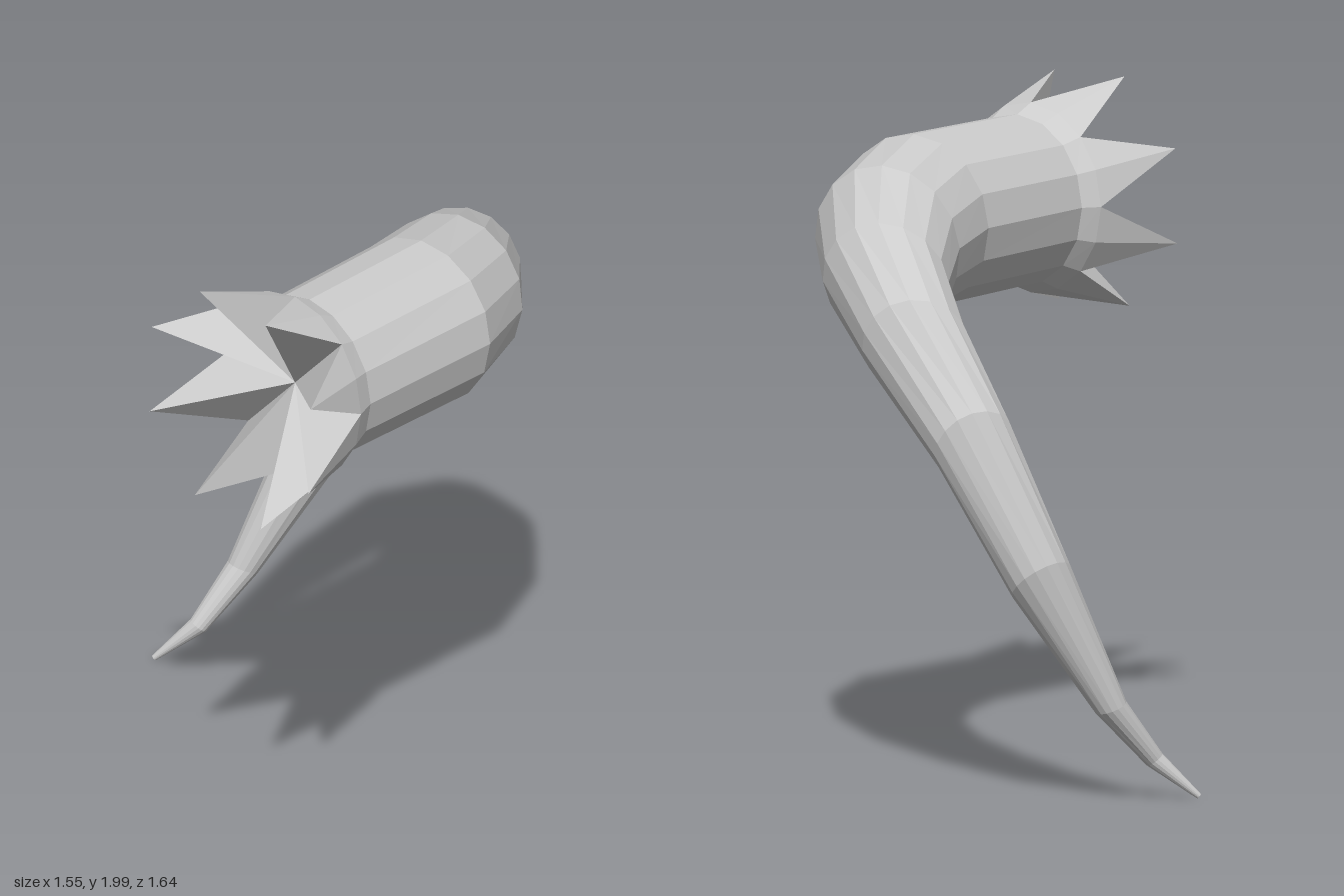
import * as THREE from 'three';

const SIDES = 16;

// Horn cross-sections, mouth to tip: centre x, y, z, radius, facing direction x, y, z
const SECTIONS = [
  [-0.50, 1.64, 0.465, 0.29, 1, 0, 0],
  [-0.44, 1.64, 0.465, 0.26, 1, 0, -0.03],
  [0.065, 1.635, 0.415, 0.266, 1, -0.03, -0.17],
  [0.31, 1.605, 0.30, 0.245, 1, -0.15, -0.29],
  [0.515, 1.53, 0.115, 0.197, 1, -0.37, -0.545],
  [0.64, 1.375, -0.125, 0.162, 1, -0.62, -0.96],
  [0.66, 1.10, -0.385, 0.127, 0.31, -0.5, -0.8],
  [0.55, 0.69, -0.56, 0.1, 0, -0.75, -0.62],
  [0.36, 0.295, -0.67, 0.05, -0.35, -0.92, -0.12],
  [0.22, 0.125, -0.72, 0.03, -0.45, -0.7, -0.3],
  [0.125, 0.012, -0.815, 0.009, -0.55, -0.6, -0.5],
];

function makeMesh(name, points, index, material) {
  const geometry = new THREE.BufferGeometry().setFromPoints(points);
  geometry.setIndex(index);
  geometry.computeVertexNormals();
  const mesh = new THREE.Mesh(geometry, material);
  mesh.name = name;
  return mesh;
}

// One ring of points per section, carrying the "up" direction along the bend
function makeRings() {
  let up = new THREE.Vector3(0, 1, 0);
  return SECTIONS.map(([x, y, z, r, dx, dy, dz]) => {
    const dir = new THREE.Vector3(dx, dy, dz).normalize();
    up = up.clone().addScaledVector(dir, -up.dot(dir)).normalize();
    const side = new THREE.Vector3().crossVectors(dir, up);
    return Array.from({ length: SIDES }, (_, j) => {
      const a = (j / SIDES) * Math.PI * 2;
      return new THREE.Vector3(x, y, z)
        .addScaledVector(up, r * Math.cos(a))
        .addScaledVector(side, r * Math.sin(a));
    });
  });
}

// Tapering curved body, closed at the tip
function makeBody(rings, material) {
  const points = rings.flat();
  const index = [];
  const last = rings.length - 1;
  const [tx, ty, tz] = SECTIONS[last];
  const tip = points.push(new THREE.Vector3(tx, ty, tz)) - 1;
  for (let j = 0; j < SIDES; j++) {
    const k = (j + 1) % SIDES;
    for (let i = 0; i < last; i++) {
      const a = i * SIDES + j, b = i * SIDES + k;
      index.push(a, b, a + SIDES, b, b + SIDES, a + SIDES);
    }
    index.push(last * SIDES + j, last * SIDES + k, tip);
  }
  return makeMesh('hornBody', points, index, material);
}

// Eight flared spikes around the mouth, their inner faces meeting at its centre
function makeSpikes(rim, material) {
  const group = new THREE.Group();
  group.name = 'mouthSpikes';
  const [cx, cy, cz] = SECTIONS[0];
  const centre = new THREE.Vector3(cx, cy, cz);
  for (let j = 1; j < SIDES; j += 2) {
    const a = (j / SIDES) * Math.PI * 2 + 0.03;
    const tip = new THREE.Vector3(-0.77, cy + 0.378 * Math.cos(a), cz + 0.378 * Math.sin(a));
    const points = [tip, rim[j - 1], rim[j], rim[(j + 1) % SIDES], centre];
    const index = [0, 2, 1, 0, 3, 2, 4, 0, 1, 4, 3, 0];
    group.add(makeMesh('spike', points, index, material));
  }
  return group;
}

export function createModel() {
  const material = new THREE.MeshStandardMaterial({ color: 0xcccccc, flatShading: true });
  const rings = makeRings();
  const model = new THREE.Group();
  model.name = 'spikedHorn';
  model.add(makeBody(rings, material), makeSpikes(rings[0], material));
  return model;
}
